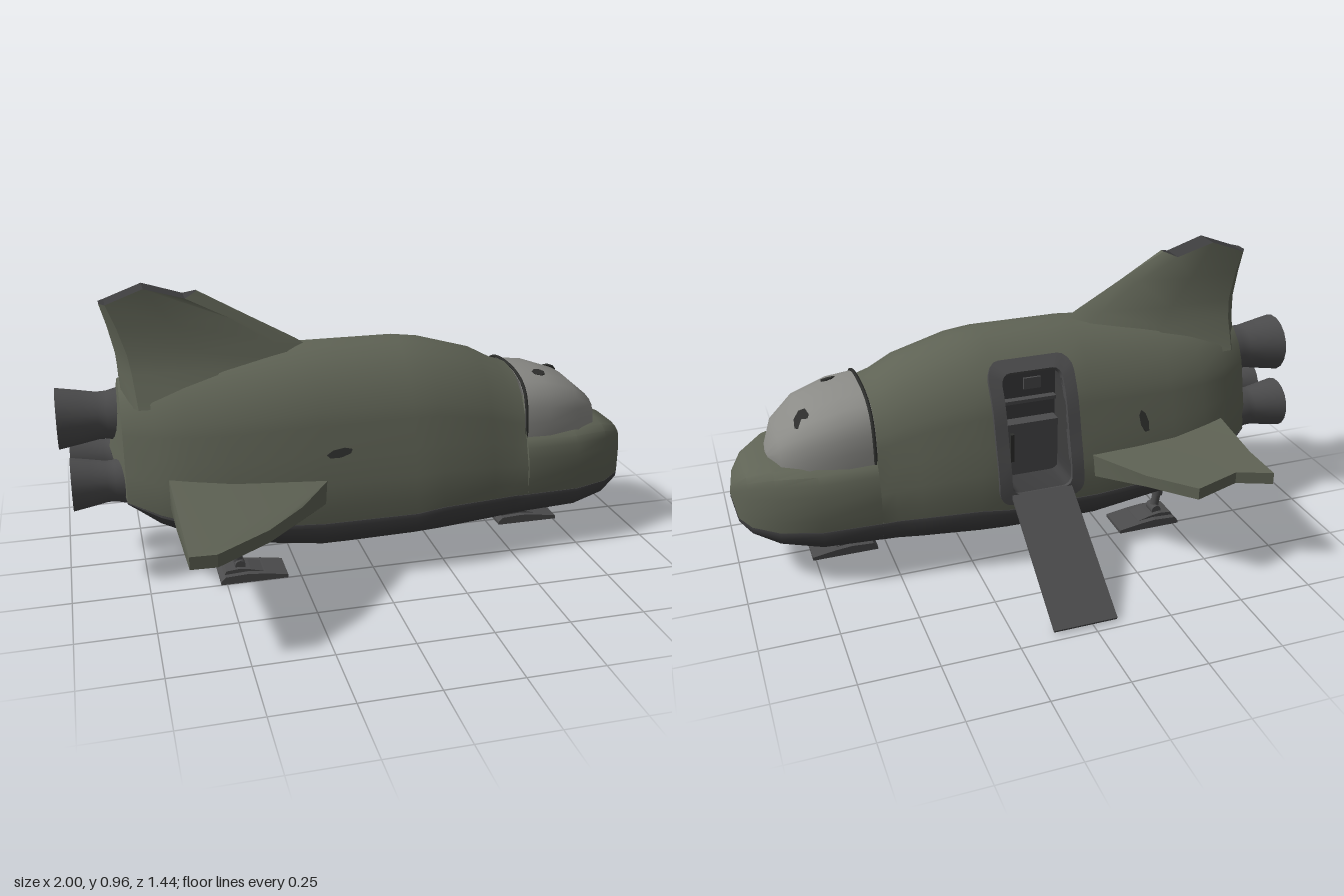
import * as THREE from 'three';
import { toCreasedNormals } from 'three/addons/utils/BufferGeometryUtils.js';

const mat = (name, color) => {
  const m = new THREE.MeshStandardMaterial({ color, side: THREE.DoubleSide });
  m.name = name;
  return m;
};

// Skin over rows of points [x, y, z]; skip(i, j) leaves a hole
function loft(rows, { close = false, wrap = false, skip = () => false, crease = 0.6 } = {}) {
  const n = rows[0].length, m = rows.length, index = [];
  for (let i = 0; i < (wrap ? m : m - 1); i++) {
    for (let j = 0; j < (close ? n : n - 1); j++) {
      if (skip(i, j)) continue;
      const i2 = (i + 1) % m, j2 = (j + 1) % n;
      const a = i * n + j, b = i2 * n + j, c = i * n + j2, d = i2 * n + j2;
      index.push(a, b, d, a, d, c);
    }
  }
  const g = new THREE.BufferGeometry();
  g.setAttribute('position', new THREE.Float32BufferAttribute(rows.flat(2), 3));
  g.setIndex(index);
  return toCreasedNormals(g, crease);
}

// Half profiles as [width fraction, height fraction]
const BODY = [[1, 0], [1, .1], [.97, .25], [.88, .42], [.8, .6], [.75, .68], [.6, .83], [.36, .95], [.15, .99], [0, 1]];
const NOSE = [[1, 0], [1.01, .2], [1.01, .4], [.98, .6], [.94, .78], [.88, .89], [.74, .97], [.45, 1], [.2, 1], [0, 1]];
const BELLY = [[1, 0], [1.01, .12], [.98, .45], [.9, .75], [.72, 1], [0, 1]];
const DOME = [[1, 0], [.99, .25], [.95, .5], [.86, .72], [.68, .88], [.4, .97], [0, 1]];

const arch = (x, w, y0, y1, prof) => {
  const half = prof.map(([u, v]) => [x, y0 + (y1 - y0) * v, w * u]);
  return [...half, ...half.slice(0, -1).reverse().map(([a, b, c]) => [a, b, -c])];
};

// Stations along the hull: x, half width, bottom, seam, top, profile
const HULL = [
  [-.84, .002, .43, .43, .431, BODY], [-.8, .18, .285, .3, .66, BODY], [-.7, .25, .225, .275, .685, BODY],
  [-.6, .28, .182, .25, .70, BODY], [-.47, .308, .145, .232, .715, BODY], [-.18, .31, .10, .212, .74, BODY],
  [-.093, .31, .10, .212, .74, BODY], [.137, .31, .105, .212, .74, BODY], [.23, .308, .107, .224, .728, BODY],
  [.42, .28, .112, .22, .675, BODY], [.5, .265, .115, .217, .632, BODY], [.55, .262, .117, .215, .615, BODY],
  [.55, .261, .117, .215, .425, NOSE], [.74, .248, .122, .212, .42, NOSE], [.87, .195, .14, .205, .408, NOSE],
  [.95, .125, .165, .202, .375, NOSE], [.985, .065, .19, .21, .335, NOSE], [1, .002, .26, .27, .28, NOSE],
];

// Half width of the middle hull at height y
function widthAt(y) {
  const v = (y - .212) / .528;
  for (let i = 1; i < BODY.length; i++) {
    const [u0, v0] = BODY[i - 1], [u1, v1] = BODY[i];
    if (v <= v1) return .31 * (u0 + (u1 - u0) * Math.max(0, (v - v0) / (v1 - v0)));
  }
  return 0;
}

// Rounded rectangle loop as [x, y]
function roundedLoop(x0, x1, y0, y1, r) {
  const pts = [], N = 4;
  [[x1 - r, y1 - r], [x0 + r, y1 - r], [x0 + r, y0 + r], [x1 - r, y0 + r]].forEach(([cx, cy], q) => {
    for (let i = 0; i <= N; i++) {
      const a = (q + i / N) * Math.PI / 2;
      pts.push([cx + r * Math.cos(a), cy + r * Math.sin(a)]);
    }
    // extra points so the long sides follow the hull curve
    if (q % 2 === 1) for (let i = 1; i < 8; i++) {
      const t = i / 8, s = q === 1;
      pts.push([s ? x0 : x1, s ? y1 - r + (y0 - y1 + 2 * r) * t : 0]);
    }
    if (q === 3) for (let i = 1; i < 8; i++) pts[pts.length - 8 + i][1] = y0 + r + (y1 - y0 - 2 * r) * i / 8;
  });
  return pts;
}

export function createModel() {
  const root = new THREE.Group();
  const green = mat('hull green', 0x5f6355), dark = mat('belly charcoal', 0x3d3d3e);
  const metal = mat('engine grey', 0x4c4c4d), glass = mat('canopy grey', 0x8b8b87);
  const black = mat('trim black', 0x2e2f2d);
  const add = (name, geo, material, parent = root) => {
    const m = new THREE.Mesh(geo, material);
    m.name = name;
    parent.add(m);
    return m;
  };

  // Hull with the doorway left open, and the belly
  add('hull', loft(HULL.map(([x, w, , s, t, p]) => arch(x, w, s, t, p)),
    { skip: (i, j) => i === 6 && j >= 12 && j <= 16 }), green);
  add('belly', loft(HULL.map(([x, w, b, s]) => arch(x, w * 1.01, s, b, BELLY).reverse())), dark);

  // Canopy and its rim
  const canopy = [[.545, .215, .613], [.64, .212, .602], [.76, .187, .56], [.84, .13, .492], [.872, .05, .42], [.876, .002, .406]];
  add('canopy', loft(canopy.map(([x, w, t]) => arch(x, w, .405, t, DOME)), { crease: .9 }), glass);
  const rim = arch(.552, .216, .41, .614, DOME).map(p => new THREE.Vector3(...p));
  add('canopyRim', new THREE.TubeGeometry(new THREE.CatmullRomCurve3(rim), 40, .006, 5), black);

  // Tail fin: levels of y, rear x, front x, half thickness
  const along = [1, .87, .45, .06, 0], fat = [0, .55, 1, .9, .45];
  const tip = [.94, .925, .965, .92, .92];
  const side = ([y, xr, xf, h], top) => along.map((f, k) =>
    [xr + (xf - xr) * f, top ? tip[k] : y, h * (top ? [.2, .9, 1, 1, .45][k] : fat[k])]);
  const mirror = pts => pts.map(([x, y, z]) => [x, y, -z]);
  const levels = [[.6, -.79, -.02, .17], [.70, -.795, -.12, .105], [.76, -.80, -.21, .08], [.85, -.82, -.37, .06], [.93, -.84, -.53, .045]];
  const finRows = levels.map((l, i) => {
    const s = side(l, i === 4);
    return [...s, ...mirror(s).reverse()];
  });
  add('tailFin', loft(finRows, { close: true, crease: .7 }), green);
  const edge = side(levels[4], true);
  add('tailFinTip', loft([mirror(edge), edge].reverse(), { crease: .2 }), dark);

  // Wings: plan outlines [x, z]; thin out to the tip and slope down to the front
  const wing = (name, outline) => {
    const shape = new THREE.Shape(outline.map(([x, z]) => new THREE.Vector2(x, -z)));
    const g = new THREE.ExtrudeGeometry(shape, { depth: 1, bevelEnabled: false }).rotateX(-Math.PI / 2);
    const p = g.attributes.position;
    for (let i = 0; i < p.count; i++) {
      const t = THREE.MathUtils.clamp((Math.abs(p.getZ(i)) - .2) / .26, 0, 1);
      const y = .331 - (p.getX(i) + .42) * .06 * (1 - t * .6);
      p.setY(i, y + (p.getY(i) - .5) * (.1 - .06 * t));
    }
    add(name, toCreasedNormals(g, .5), green);
  };
  wing('leftWing', [[-.67, .2], [-.67, .45], [-.66, .715], [-.58, .715], [-.41, .59], [-.28, .45], [-.17, .3], [-.12, .2]]);
  wing('brokenRightWing', [[-.67, -.2], [-.67, -.45], [-.67, -.605], [-.56, -.555], [-.4, -.605], [-.28, -.47], [-.17, -.31], [-.12, -.2]]);

  // Rocket engines
  const bell = [[.092, .3], [.09, .2], [.08, .16], [.079, .13], [.09, .07], [.102, 0], [.09, 0], [.074, .06], [.05, .12], [0, .13]];
  [[-1, .54, -.005, 1], [-.97, .345, .092, .86], [-.97, .345, -.106, .86]].forEach(([x, y, z, s]) => {
    const g = new THREE.LatheGeometry(bell.map(([r, l]) => new THREE.Vector2(r, l)), 18).rotateZ(-Math.PI / 2);
    const e = add('engine', toCreasedNormals(g, .7), metal);
    e.position.set(x, y, z);
    e.scale.setScalar(s);
  });

  // Door frame following the hull, with jambs and the space behind it
  const door = new THREE.Group();
  door.name = 'doorway';
  root.add(door);
  const onHull = ([x, y], out) => {
    const slope = (widthAt(y + .02) - widthAt(y - .02)) / .04, l = Math.hypot(1, slope);
    return [x, y - slope / l * out, -widthAt(y) - out / l];
  };
  const outer = roundedLoop(-.125, .17, .236, .677, .045), inner = roundedLoop(-.083, .127, .27, .645, .03);
  add('doorFrame', loft(outer.map((o, i) =>
    [onHull(o, -.01), onHull(o, .014), onHull(inner[i], .014), onHull(inner[i], -.012)]),
  { wrap: true, crease: .5 }), metal, door);
  add('doorJamb', loft(inner.map(p => [onHull(p, 0), [p[0], p[1], -.14]]), { wrap: true }), dark, door);
  const box = (name, w, h, d, x, y, z, m, parent = door) => {
    const b = add(name, new THREE.BoxGeometry(w, h, d), m, parent);
    b.position.set(x, y, z);
    return b;
  };
  box('cabinWall', .22, .39, .01, .022, .455, -.14, dark);
  box('cabinBench', .2, .2, .05, .022, .36, -.165, metal);
  box('cabinShelf', .2, .012, .03, .022, .53, -.155, metal);
  box('cabinPanel', .06, .04, .008, .0, .585, -.149, metal);
  box('doorHandle', .012, .1, .014, .1, .4, -.235, black);

  // Boarding ramp
  const rise = .262, run = .4;
  const ramp = box('ramp', .21, .012, Math.hypot(rise, run), .025, .138, -.517, metal, root);
  ramp.rotation.x = -Math.atan2(rise, run);

  // Landing legs: top of strut, ankle, heel of foot
  const rod = (name, a, b, r, parent) => {
    const from = new THREE.Vector3(...a), to = new THREE.Vector3(...b), d = to.clone().sub(from);
    const m = add(name, new THREE.CylinderGeometry(r, r, d.length(), 10), metal, parent);
    m.position.copy(from).add(to).multiplyScalar(.5);
    m.quaternion.setFromUnitVectors(new THREE.Vector3(0, 1, 0), d.normalize());
  };
  const sole = new THREE.Shape([[0, 0], [.225, 0], [.225, .012], [.15, .024], [.09, .03], [.015, .026], [0, .01]].map(p => new THREE.Vector2(...p)));
  [[-.47, .17, -.45, .19, -.52], [-.47, .17, -.45, -.2, -.52], [.5, .16, .61, -.012, .535]].forEach(([tx, ty, ax, z, heel]) => {
    const leg = new THREE.Group();
    leg.name = 'landingLeg';
    root.add(leg);
    const mx = (tx + ax) / 2, my = (ty + .03) / 2;
    rod('upperStrut', [tx, ty, z], [mx, my, z], .021, leg);
    rod('lowerStrut', [mx, my, z], [ax, .03, z], .015, leg);
    rod('ankle', [ax, .045, z - .025], [ax, .045, z + .025], .018, leg);
    [[.12, 1, 0], [.08, 1, .012]].forEach(([w, s, lift]) => {
      const f = add('foot', new THREE.ExtrudeGeometry(sole, { depth: w, bevelEnabled: false }), metal, leg);
      f.position.set(heel + lift, lift, z - w / 2);
      f.scale.set(lift ? .6 : 1, s, 1);
    });
  });

  // Scorch marks: thin flakes lying on the skin
  const flake = (pos, normal, w, h, turn) => {
    const g = new THREE.CylinderGeometry(.5, .5, .006, 7).rotateX(Math.PI / 2).scale(w, h, 1).rotateZ(turn);
    const m = add('scorchMark', g, black);
    m.position.set(...pos);
    m.quaternion.setFromUnitVectors(new THREE.Vector3(0, 0, 1), new THREE.Vector3(...normal).normalize());
  };
  flake([.76, .547, -.095], [.4, .8, -.42], .08, .05, .5);
  flake([.64, .594, .085], [.13, .95, .28], .05, .04, 0);
  flake([-.12, .44, widthAt(.44)], [0, .35, .94], .09, .03, .15);
  flake([-.36, .44, -widthAt(.44)], [0, .35, -.94], .03, .08, .2);
  return root;
}
